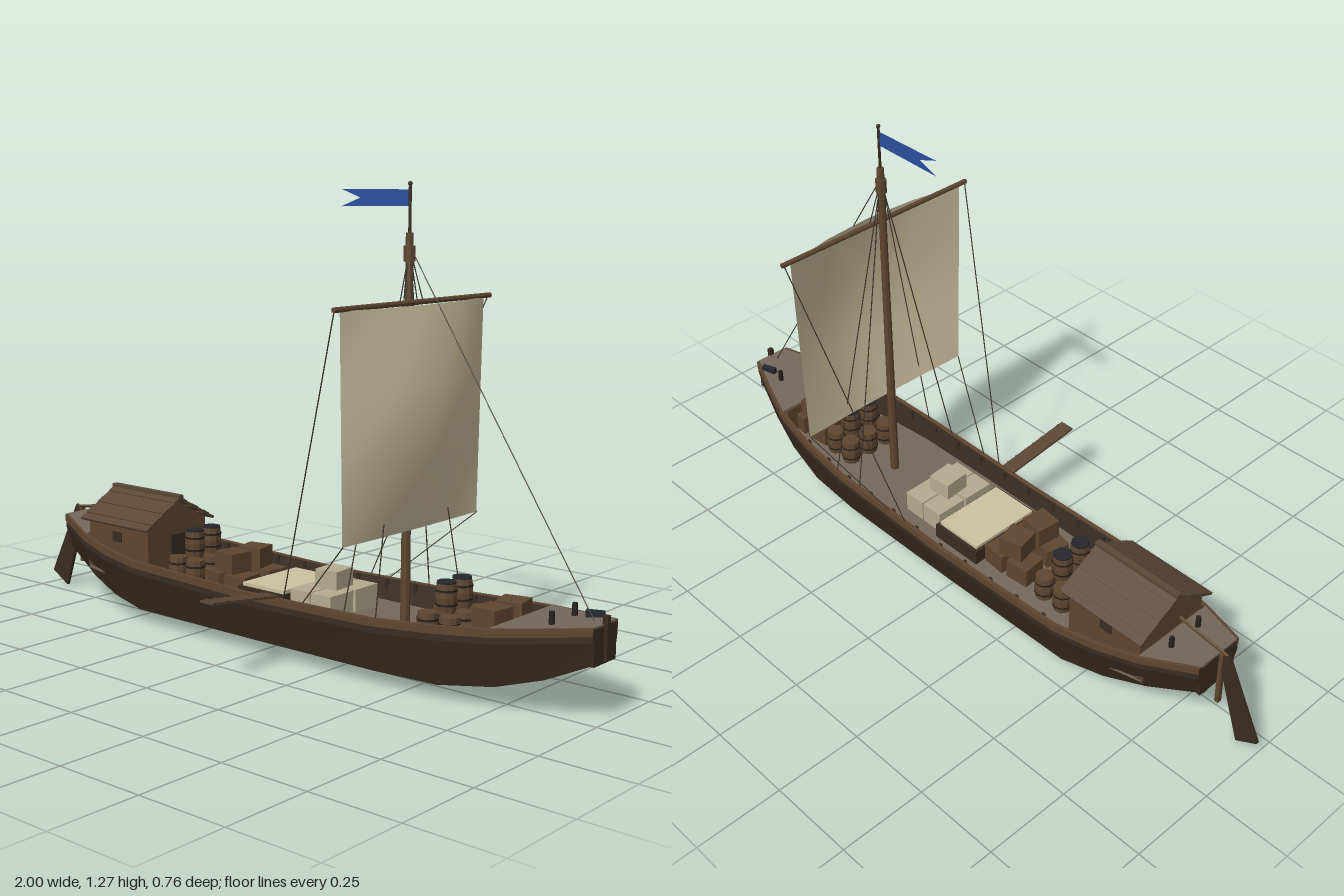
import * as THREE from 'three';

const mat = (color, flatShading = true) => new THREE.MeshStandardMaterial({ color, flatShading, side: THREE.DoubleSide });
const M = {
  hull: mat(0x382c22), wood: mat(0x5f4630), roof: mat(0x5a4737), deck: mat(0x74685a), dark: mat(0x25211e),
  sail: mat(0xcdc1a0, false), bale: mat(0xb5ac90), rope: mat(0x3d362c), flag: mat(0x2c4f9e), iron: mat(0x24272c),
};
const DECK = 0.124; // main deck height

// Hull stations: x, half width, sheer height, bottom half width, bottom height
const STATIONS = [
  [-0.852, 0.075, 0.25, 0.05, 0.145], [-0.7, 0.135, 0.22, 0.095, 0.088], [-0.58, 0.165, 0.203, 0.125, 0.057],
  [-0.45, 0.184, 0.19, 0.148, 0.04], [0, 0.188, 0.177, 0.154, 0.04], [0.42, 0.186, 0.184, 0.154, 0.04],
  [0.6, 0.172, 0.196, 0.14, 0.04], [0.75, 0.145, 0.209, 0.112, 0.06], [0.87, 0.102, 0.223, 0.08, 0.095],
  [0.985, 0.055, 0.236, 0.045, 0.147],
];
function stationAt(x) {
  let i = 0;
  while (i < STATIONS.length - 2 && STATIONS[i + 1][0] < x) i++;
  const a = STATIONS[i], b = STATIONS[i + 1], t = (x - a[0]) / (b[0] - a[0]);
  return a.map((v, k) => v + (b[k] - v) * t);
}

// Skin closed cross-sections and cap both ends
function loft(sections) {
  const n = sections[0].length, idx = [];
  for (let s = 0; s < sections.length - 1; s++) for (let k = 0; k < n; k++) {
    const a = s * n + k, b = s * n + (k + 1) % n;
    idx.push(a, b, a + n, b, b + n, a + n);
  }
  const e = (sections.length - 1) * n;
  for (let k = 1; k < n - 1; k++) idx.push(0, k + 1, k, e, e + k, e + k + 1);
  const g = new THREE.BufferGeometry();
  g.setAttribute('position', new THREE.Float32BufferAttribute(sections.flat(2), 3));
  g.setIndex(idx);
  g.computeVertexNormals();
  return g;
}
// Flat slab section across the ship
const slab = (x, w, top, thick) => [[x, top, w], [x, top - thick, w], [x, top - thick, -w], [x, top, -w]];
const shapeOf = (points) => new THREE.Shape(points.map((p) => new THREE.Vector2(...p)));

export function createModel() {
  const model = new THREE.Group();
  model.name = 'sailingBarge';
  const ship = new THREE.Group();
  ship.name = 'ship';
  ship.position.z = -0.053;
  model.add(ship);

  const add = (name, geo, material, x = 0, y = 0, z = 0, parent = ship) => {
    const m = new THREE.Mesh(geo, material);
    m.name = name;
    m.position.set(x, y, z);
    parent.add(m);
    return m;
  };
  const box = (name, w, h, d, material, x, y, z, parent) => add(name, new THREE.BoxGeometry(w, h, d), material, x, y, z, parent);
  const rod = (name, a, b, r, material, sides = 5, r2 = r) => {
    const p = new THREE.Vector3(...a), q = new THREE.Vector3(...b), d = q.clone().sub(p);
    const m = add(name, new THREE.CylinderGeometry(r2, r, d.length(), sides), material);
    m.position.copy(p).add(q).multiplyScalar(0.5);
    m.quaternion.setFromUnitVectors(new THREE.Vector3(0, 1, 0), d.normalize());
  };

  // Hull sides, gunwales and bulwark ribs
  for (const s of [-1, 1]) {
    add('hullSide', loft(STATIONS.map(([x, w, t, bw, b]) => [
      [x, t, s * w], [x, t - 0.035, s * (w + 0.001)], [x, b, s * bw], [x, b, s * (bw - 0.015)], [x, t, s * (w - 0.01)],
    ])), M.hull);
    add('gunwale', loft(STATIONS.map(([x, w, t]) => [
      [x, t + 0.003, s * (w + 0.003)], [x, t - 0.018, s * (w + 0.003)], [x, t - 0.018, s * (w - 0.009)], [x, t + 0.003, s * (w - 0.009)],
    ])), M.wood);
    for (let x = -0.4; x < 0.7; x += 0.1) {
      const [, w, t] = stationAt(x);
      box('rib', 0.01, t - DECK, 0.008, M.hull, x, (t + DECK) / 2, s * (w - 0.014));
    }
  }
  // Flat bottom and main deck
  add('hullBottom', loft(STATIONS.slice(3, 7).map(([x, , , bw, b]) => slab(x, bw, b + 0.002, 0.002))), M.hull);
  add('deck', loft(STATIONS.slice(1, 8).map(([x, w]) => slab(x, w - 0.02, DECK, 0.006))), M.deck);
  add('deckUnderside', loft(STATIONS.slice(1, 8).map(([x, w]) => slab(x, w - 0.022, DECK - 0.006, 0.006))), M.hull);

  // Raised end decks with bulkheads and end boards
  for (const [name, part] of [['sternDeck', STATIONS.slice(0, 2)], ['foredeck', STATIONS.slice(7)]]) {
    add(name, loft(part.map(([x, w, t]) => slab(x, w - 0.006, t + 0.004, 0.014))), M.deck);
    const [x, w, t] = name === 'foredeck' ? part[0] : part[1];
    box('bulkhead', 0.01, t - DECK + 0.008, 2 * w - 0.04, M.wood, x, (t + DECK - 0.008) / 2, 0);
  }
  box('bowTransom', 0.01, 0.092, 0.1, M.hull, 0.981, 0.189, 0);
  box('sternTransom', 0.01, 0.1, 0.13, M.hull, -0.847, 0.198, 0);
  box('stemPost', 0.014, 0.11, 0.014, M.hull, 0.988, 0.205, 0);
  box('sternPost', 0.012, 0.17, 0.014, M.wood, -0.863, 0.175, 0);

  // Rudder and tiller
  const blade = shapeOf([[-0.885, 0.268], [-0.852, 0.25], [-0.935, 0.002], [-1.0, 0.04]]);
  add('rudder', new THREE.ExtrudeGeometry(blade, { depth: 0.01, bevelEnabled: false }), M.hull, 0, 0, -0.005);
  rod('tiller', [-0.88, 0.262, 0], [-0.72, 0.285, 0], 0.005, M.wood);

  // Bollards and anchor
  for (const x of [-0.74, 0.87]) for (const s of [-1, 1]) {
    add('bollard', new THREE.CylinderGeometry(0.007, 0.008, 0.036, 8), M.dark, x, stationAt(x)[2] + 0.018, s * 0.052);
  }
  box('anchorStock', 0.045, 0.018, 0.014, M.iron, 0.925, 0.24, -0.055).rotation.y = 0.35;
  rod('anchorShank', [0.925, 0.24, -0.055], [0.93, 0.19, -0.085], 0.004, M.iron);

  // Cabin with plank roof
  const cabin = new THREE.Group();
  cabin.name = 'cabin';
  ship.add(cabin);
  const wall = shapeOf([[-0.118, DECK], [0.118, DECK], [0.118, 0.272], [0, 0.338], [-0.118, 0.272]]);
  add('cabinWalls', new THREE.ExtrudeGeometry(wall, { depth: 0.25, bevelEnabled: false }), M.wood, -0.695, 0, 0, cabin).rotation.y = Math.PI / 2;
  box('cabinDoor', 0.006, 0.11, 0.055, M.hull, -0.443, 0.185, 0, cabin);
  for (const s of [-1, 1]) {
    box('cabinWindow', 0.04, 0.03, 0.004, M.hull, -0.575, 0.23, s * 0.118, cabin);
    for (let i = 0; i < 6; i++) {
      const t = (i + 0.5) / 6;
      box('roofPlank', 0.282, 0.01 - (i % 2) * 0.003, 0.027, M.roof, -0.57, 0.346 - t * 0.077, s * t * 0.138, cabin).rotation.x = s * 0.48;
    }
  }
  box('roofRidge', 0.285, 0.01, 0.018, M.roof, -0.57, 0.352, 0, cabin);

  // Barrels: six on deck, two on top
  const barrelGeo = new THREE.LatheGeometry([[0, 0], [0.026, 0], [0.029, 0.036], [0.026, 0.072], [0, 0.072]].map((p) => new THREE.Vector2(...p)), 10);
  const hoopGeo = new THREE.CylinderGeometry(0.0292, 0.0292, 0.006, 10, 1, true);
  const barrel = (x, y, z, lid) => {
    const b = new THREE.Group();
    b.name = 'barrel';
    b.position.set(x, y, z);
    ship.add(b);
    add('staves', barrelGeo, M.wood, 0, 0, 0, b);
    for (const h of [0.018, 0.054]) add('hoop', hoopGeo, M.dark, 0, h, 0, b);
    if (lid) add('lid', new THREE.CylinderGeometry(0.026, 0.026, 0.006, 10), M.iron, 0, 0.073, 0, b);
  };
  for (const cx of [-0.338, 0.55]) {
    for (const dx of [-0.034, 0.034]) for (const z of [-0.067, 0, 0.067]) barrel(cx + dx, DECK, z, false);
    for (const z of [-0.034, 0.034]) barrel(cx, DECK + 0.074, z, true);
  }

  // Crates: offset x, level, z, turn
  const crates = [[-0.04, 0, -0.052, 0.1], [0.042, 0, -0.055, -0.08], [-0.037, 0, 0.055, -0.25], [0.042, 0, 0.058, 0.12], [0, 1, -0.042, 0.22], [0, 1, 0.05, -0.1]];
  for (const cx of [-0.172, 0.7]) for (const [dx, level, z, turn] of crates) {
    const c = new THREE.Group();
    c.name = 'crate';
    c.position.set(cx + dx, DECK + 0.029 + level * 0.058, z);
    c.rotation.y = turn;
    ship.add(c);
    box('crateBody', 0.072, 0.057, 0.072, M.wood, 0, 0, 0, c);
  }

  // Covered hatch and bales
  box('hatchFrame', 0.165, 0.045, 0.24, M.hull, -0.005, DECK + 0.022, 0);
  box('hatchCover', 0.148, 0.014, 0.22, M.sail, -0.005, DECK + 0.047, 0);
  for (const dx of [-0.036, 0.036]) for (const z of [-0.052, 0.052]) box('bale', 0.068, 0.062, 0.095, M.bale, 0.155 + dx, DECK + 0.031, z);
  box('topBale', 0.07, 0.05, 0.078, M.bale, 0.155, DECK + 0.087, 0).rotation.y = 0.08;

  // Gangplank with cross slats
  const plank = new THREE.Group();
  plank.name = 'gangplank';
  plank.position.set(0.095, 0.201, 0.308);
  plank.rotation.x = -0.12;
  ship.add(plank);
  box('plank', 0.045, 0.006, 0.25, M.roof, 0, 0, 0, plank);
  for (let i = -3; i <= 3; i++) box('slat', 0.045, 0.002, 0.005, M.wood, 0, 0.004, i * 0.035, plank);

  // Mast, masthead, flagpole, yard
  rod('mast', [0.395, 0.12, 0], [0.395, 1.14, 0], 0.013, M.wood, 8, 0.01);
  add('mastCollar', new THREE.CylinderGeometry(0.015, 0.015, 0.04, 8), M.wood, 0.395, 1.087, 0);
  rod('flagpole', [0.395, 1.13, 0], [0.395, 1.262, 0], 0.004, M.hull, 6);
  add('poleBall', new THREE.SphereGeometry(0.006, 8, 6), M.hull, 0.395, 1.262, 0);
  rod('yard', [0.418, 0.966, -0.326], [0.418, 0.966, 0.326], 0.007, M.wood, 8);
  const pennant = shapeOf([[0.393, 1.206], [0.393, 1.247], [0.172, 1.247], [0.235, 1.225], [0.172, 1.202]]);
  add('flag', new THREE.ShapeGeometry(pennant), M.flag);

  // Billowing square sail
  const sailGeo = new THREE.PlaneGeometry(1, 1, 4, 3);
  const p = sailGeo.attributes.position, bulge = [0.04, 0.088, 0.066, 0.005];
  for (let i = 0; i < p.count; i++) {
    const u = p.getX(i) * 2, v = 0.5 - p.getY(i);
    p.setXYZ(i, 0.416 + bulge[Math.round(v * 3)] * (1 - u * u), 0.962 - v * 0.58, -u * (0.3 - 0.015 * v));
  }
  sailGeo.computeVertexNormals();
  add('sail', sailGeo, M.sail);

  // Rigging
  const rope = (name, a, b) => rod(name, a, b, 0.0016, M.rope, 4);
  rope('forestay', [0.4, 1.1, 0], [0.955, 0.24, 0]);
  for (const s of [-1, 1]) {
    for (const x of [0.338, 0.44]) rope('shroud', [0.395, 1.07, s * 0.008], [x, 0.185, s * 0.182]);
    rope('brace', [0.415, 0.962, s * 0.32], [0.135, 0.18, s * 0.185]);
    rope('sheet', [0.418, 0.383, s * 0.285], [0.2, 0.182, s * 0.185]);
    rope('yardLift', [0.4, 1.075, s * 0.006], [0.418, 0.968, s * 0.028]);
  }
  return model;
}
